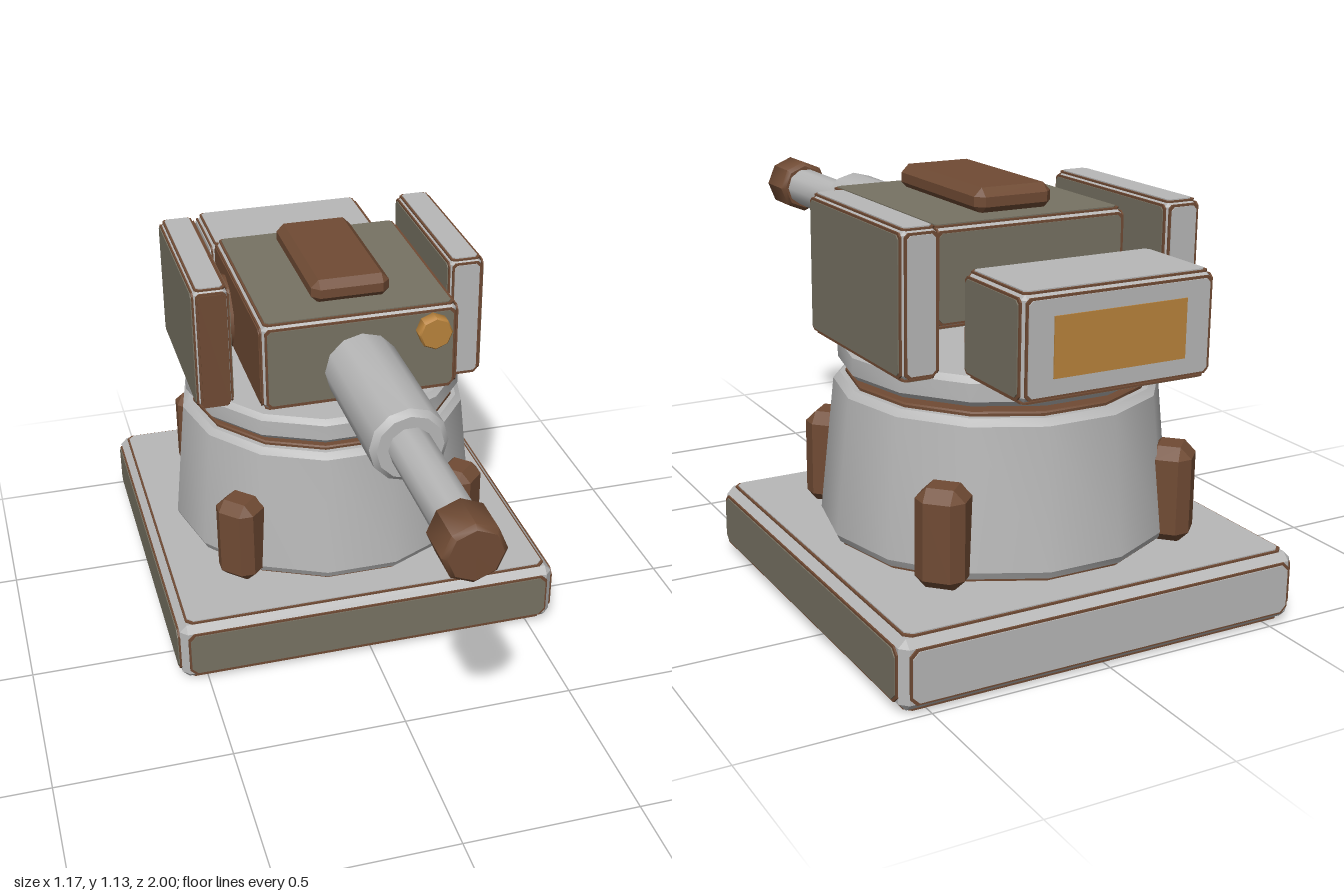
import * as THREE from 'three';
import { toCreasedNormals } from 'three/addons/utils/BufferGeometryUtils.js';
import { ConvexGeometry } from 'three/addons/geometries/ConvexGeometry.js';

const material = (name, color) => {
  const m = new THREE.MeshStandardMaterial({ color });
  m.name = name;
  return m;
};
const grey = material('light grey', 0xb8b8b8);
const olive = material('olive grey', 0x777263);
const brown = material('rust brown', 0x704b34);
const orange = material('amber', 0xb9833c);

const AXIS_Z = -0.415; // centre of the base and turntable

function add(parent, name, geometry, mat, x = 0, y = 0, z = 0) {
  const mesh = new THREE.Mesh(geometry, mat);
  mesh.name = name;
  mesh.position.set(x, y, z);
  parent.add(mesh);
  return mesh;
}

// Box with every edge and corner cut by c
function chamferBox(w, h, d, c) {
  const pts = [];
  for (const sx of [-1, 1]) for (const sy of [-1, 1]) for (const sz of [-1, 1]) {
    const x = w / 2, y = h / 2, z = d / 2;
    pts.push(new THREE.Vector3(sx * x, sy * (y - c), sz * (z - c)));
    pts.push(new THREE.Vector3(sx * (x - c), sy * y, sz * (z - c)));
    pts.push(new THREE.Vector3(sx * (x - c), sy * (y - c), sz * z));
  }
  return new ConvexGeometry(pts);
}

// Thin plate with cut corners, facing +z
function plate(w, h, cut, depth) {
  const x = w / 2, y = h / 2;
  const shape = new THREE.Shape([
    [-x + cut, -y], [x - cut, -y], [x, -y + cut], [x, y - cut],
    [x - cut, y], [-x + cut, y], [-x, y - cut], [-x, -y + cut],
  ].map(p => new THREE.Vector2(...p)));
  return new THREE.ExtrudeGeometry(shape, { depth, bevelEnabled: false });
}

// Chamfered body with a rimmed panel on each face; min and max are overall limits
function panelBox(parent, name, min, max, margin, colours) {
  const group = new THREE.Group();
  group.name = name;
  const [w, h, d] = max.map((v, i) => v - min[i]);
  group.position.set(...max.map((v, i) => (v + min[i]) / 2));
  parent.add(group);
  const inset = 0.008;
  add(group, name + 'Body', chamferBox(w - 2 * inset, h - 2 * inset, d - 2 * inset, margin * 0.6), grey);
  const faces = {
    front: [w, h, d, 0, 0], back: [w, h, d, 0, Math.PI],
    left: [d, h, w, 0, Math.PI / 2], right: [d, h, w, 0, -Math.PI / 2],
    top: [w, d, h, -Math.PI / 2, 0], bottom: [w, d, h, Math.PI / 2, 0],
  };
  for (const [side, [a, b, depth, rx, ry]] of Object.entries(faces)) {
    const face = new THREE.Group();
    face.name = side + 'Face';
    face.rotation.set(rx, ry, 0);
    group.add(face);
    const z = depth / 2 - inset, k = 2 * margin;
    add(face, side + 'Rim', plate(a - k + 0.012, b - k + 0.012, margin * 0.5, 0.005), brown, 0, 0, z);
    add(face, side + 'Panel', plate(a - k, b - k, margin * 0.5, 0.008), colours[side] || olive, 0, 0, z);
  }
  return group;
}

// Turned part from [radius, height] points, smooth around, sharp across
function turned(points, sides, crease) {
  const profile = points.map(p => new THREE.Vector2(...p));
  return toCreasedNormals(new THREE.LatheGeometry(profile, sides).rotateY(Math.PI / 2), crease);
}

// Solid cylinder with bevelled ends between heights a and b
const drum = (r, a, b, c, sides, crease) =>
  turned([[0, a], [r - c, a], [r, a + c], [r, b - c], [r - c, b], [0, b]], sides, crease);

export function createModel() {
  const model = new THREE.Group();
  model.name = 'turret';

  // Square base
  panelBox(model, 'base', [-0.583, 0, -1], [0.583, 0.2, 0.168], 0.034, { top: grey, back: grey });

  // Tapered pedestal with rust seams, and the turntable above it
  add(model, 'pedestalFoot', drum(0.455, 0.19, 0.225, 0.004, 14, 0.5), brown, 0, 0, AXIS_Z);
  add(model, 'pedestal', turned([[0, 0.21], [0.466, 0.21], [0.476, 0.23], [0.438, 0.6], [0.42, 0.617], [0, 0.617]],
    14, 0.5), grey, 0, 0, AXIS_Z);
  add(model, 'pedestalSeam', drum(0.405, 0.6, 0.628, 0.004, 14, 0.5), brown, 0, 0, AXIS_Z);
  add(model, 'turntable', drum(0.425, 0.645, 0.722, 0.015, 14, 0.5), grey, 0, 0, AXIS_Z);

  // Corner buttresses
  for (const sx of [-1, 1]) for (const sz of [-1, 1]) {
    const b = add(model, 'buttress', chamferBox(0.13, 0.265, 0.12, 0.03), brown,
      sx * 0.34, 0.328, AXIS_Z + sz * 0.338);
    b.rotation.y = sx * sz * Math.PI / 4;
  }

  // Gun housing, hatch and trunnions
  panelBox(model, 'housing', [-0.287, 0.8, -0.592], [0.287, 1.068, 0.042], 0.02, { left: brown, right: brown });
  add(model, 'hatch', chamferBox(0.226, 0.07, 0.455, 0.022), brown, 0, 1.097, -0.282);
  add(model, 'trunnion', drum(0.112, -0.318, 0.318, 0.02, 10, 0.7).rotateZ(Math.PI / 2), brown, 0, 0.907, -0.42);

  // Side pods
  for (const s of [-1, 1]) {
    const x = [s * 0.322, s * 0.434].sort((a, b) => a - b);
    panelBox(model, s > 0 ? 'leftPod' : 'rightPod', [x[0], 0.716, -0.712], [x[1], 1.098, -0.165], 0.018,
      { front: s > 0 ? grey : brown, back: grey, top: grey });
  }

  // Rear counterweight with a lit panel
  panelBox(model, 'counterweight', [-0.272, 0.716, -0.997], [0.272, 0.988, -0.712], 0.02,
    { top: grey, back: grey, right: grey });
  add(model, 'rearLight', new THREE.BoxGeometry(0.37, 0.15, 0.006), orange, 0, 0.852, -0.997);

  // Gun barrel
  const gun = new THREE.Group();
  gun.name = 'gun';
  gun.position.y = 0.907;
  model.add(gun);
  const barrelPart = (name, mat, r, a, b, c, sides, crease) =>
    add(gun, name, drum(r, a, b, c, sides, crease).rotateX(Math.PI / 2), mat);
  barrelPart('sleeve', grey, 0.107, 0.03, 0.497, 0.016, 12, 0.6);
  barrelPart('barrel', grey, 0.06, 0.48, 0.88, 0.004, 10, 0.7);
  barrelPart('muzzle', brown, 0.082, 0.865, 1, 0.012, 8, 0.78);

  // Front sensor
  add(model, 'sensor', drum(0.049, 0.038, 0.08, 0.004, 8, 0.78).rotateX(Math.PI / 2), orange, 0.205, 1, 0);

  return model;
}
